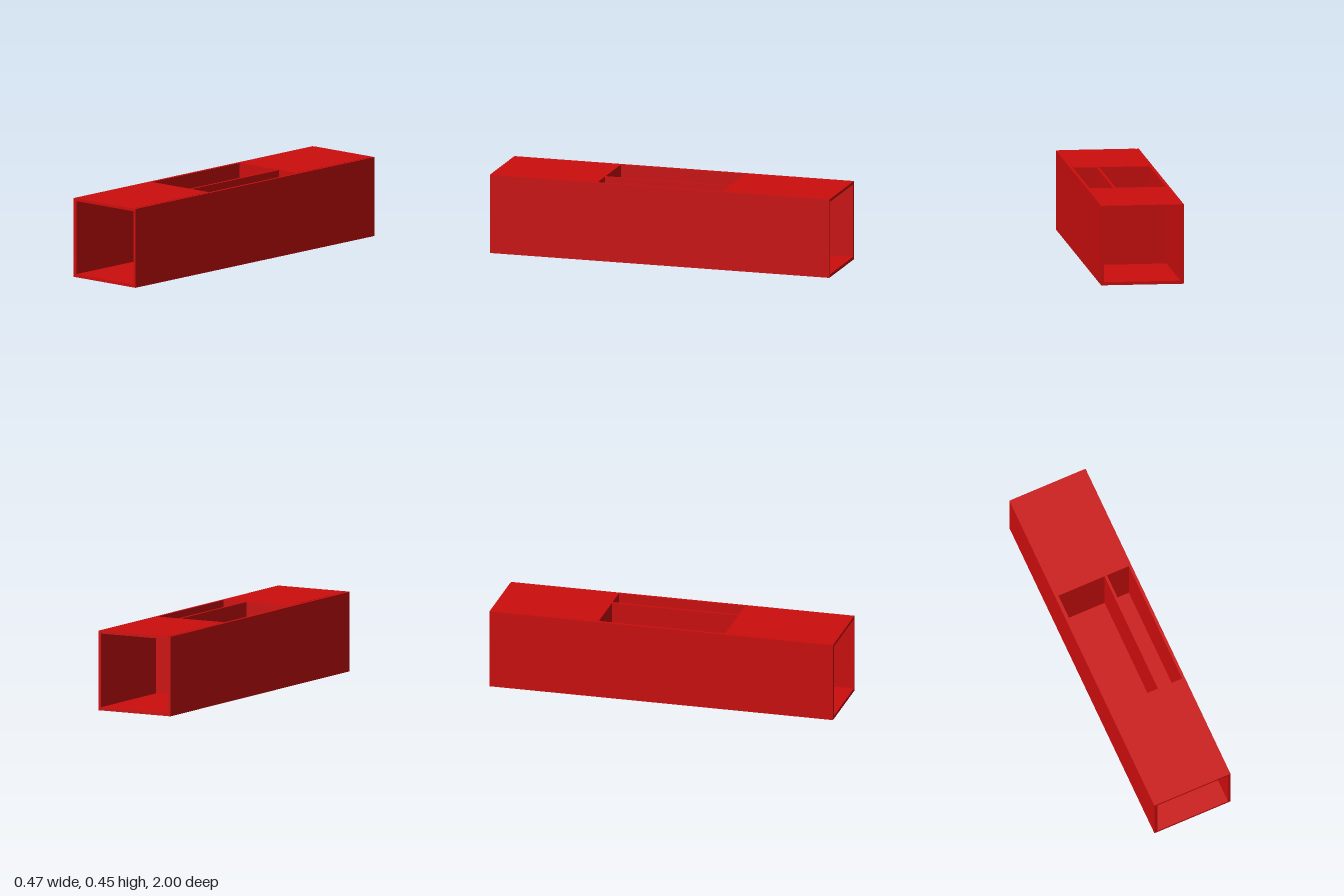
import * as THREE from 'three';

export function createModel() {
  const group = new THREE.Group();
  const red = new THREE.MeshStandardMaterial({ color: 0xcc0d0d });
  red.name = 'red';

  // Flat board given by its lower and upper limits on each axis
  function board(name, [x0, x1], [y0, y1], [z0, z1]) {
    const mesh = new THREE.Mesh(new THREE.BoxGeometry(x1 - x0, y1 - y0, z1 - z0), red);
    mesh.position.set((x0 + x1) / 2, (y0 + y1) / 2, (z0 + z1) / 2);
    mesh.name = name;
    group.add(mesh);
  }

  const height = 0.453, t = 0.016;
  const innerX = [-0.214, 0.219];
  const full = [-1, 1];
  const opening = 0.368; // half length of the open middle compartment

  // Long outer shell
  board('floor', innerX, [0, 0.018], full);
  board('rightWall', [-0.234, -0.214], [0, 0.452], full);
  board('leftWall', [0.219, 0.235], [0, 0.452], full);

  // Lids over both ends, each with a cross wall closing the compartment
  board('frontLid', innerX, [height - t, height], [opening, 1]);
  board('backLid', innerX, [height - t, height], [-1, -opening]);
  board('frontCrossWall', innerX, [0.018, height - t], [opening, opening + t]);
  board('backCrossWall', innerX, [0.018, height - t], [-opening - t, -opening]);

  // Lengthwise divider in the open compartment
  board('divider', [0.07, 0.085], [0.018, 0.452], [-opening, opening]);

  return group;
}
